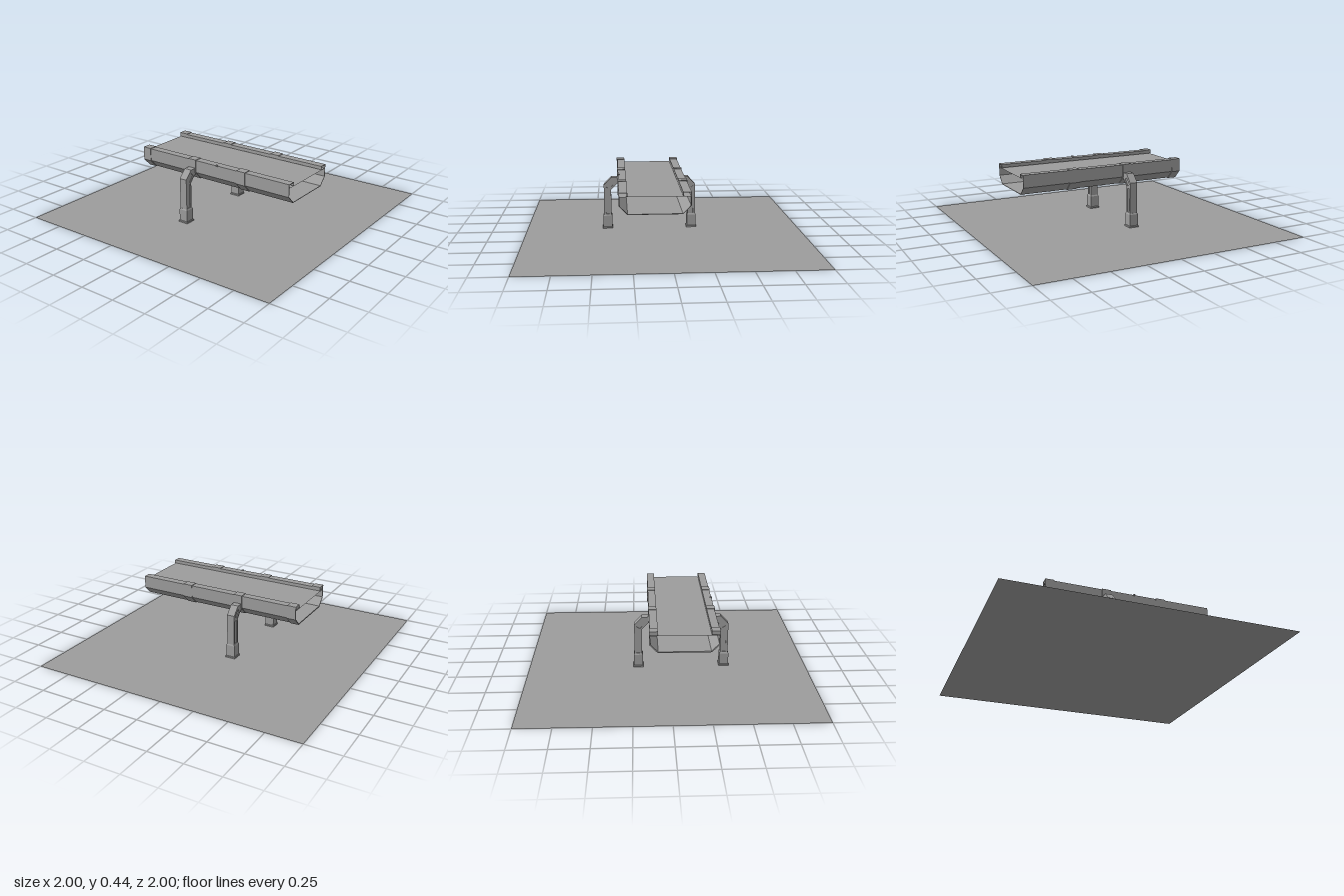
import * as THREE from 'three';

const CX = -0.098;      // centre line of the trough
const LEG_Z = -0.092;   // position of the supports
const mat = new THREE.MeshStandardMaterial({ color: 0x9c9c9c, flatShading: true, side: THREE.DoubleSide });

function part(parent, name, geometry, x = 0, y = 0, z = 0) {
  const mesh = new THREE.Mesh(geometry, mat);
  mesh.name = name;
  mesh.position.set(x, y, z);
  parent.add(mesh);
  return mesh;
}

const vectors = list => list.map(([x, y]) => new THREE.Vector2(x, y));

// Trough cross-section: lip, rail top, wall, chamfer, floor, then mirrored
const half = [[0.178, 0.416], [0.178, 0.44], [0.233, 0.44], [0.233, 0.351], [0.179, 0.295]];
const section = vectors([...half, ...half.map(([x, y]) => [-x, y]).reverse()]);

// Mitred offset of an open polyline; positive d goes outward
function offset(points, d) {
  return points.map((p, i) => {
    const normals = [];
    for (const [a, b] of [[points[i - 1], p], [p, points[i + 1]]]) {
      if (!a || !b) continue;
      const t = b.clone().sub(a).normalize();
      normals.push(new THREE.Vector2(-t.y, t.x));
    }
    const m = normals[0].clone().add(normals[normals.length - 1]).normalize();
    return p.clone().addScaledVector(m, d / m.dot(normals[0]));
  });
}

function extrude(points, depth, holes = []) {
  const shape = new THREE.Shape(points);
  shape.holes = holes.map(h => new THREE.Path(h));
  return new THREE.ExtrudeGeometry(shape, { depth, bevelEnabled: false });
}

const shell = (line, outer, inner, depth) =>
  extrude([...offset(line, outer), ...offset(line, inner).reverse()], depth);

// Four-sided column with a tapering square section, from [halfWidth, y] pairs
function squareColumn(profile) {
  const pts = [[0, profile[0][1]], ...profile, [0, profile[profile.length - 1][1]]]
    .map(([w, y]) => new THREE.Vector2(w * Math.SQRT2, y));
  return new THREE.LatheGeometry(pts, 4, Math.PI / 4);
}

function makeLeg(side) {
  const leg = new THREE.Group();
  leg.name = side > 0 ? 'leftLeg' : 'rightLeg';
  leg.position.set(CX, 0, LEG_Z);
  const mirrored = list => vectors(list.map(([x, y]) => [side * x, y]));

  // Foot with a flared sole and sloped shoulder
  part(leg, 'foot', squareColumn([
    [0.037, 0], [0.037, 0.009], [0.033, 0.013], [0.033, 0.095], [0.028, 0.104]]), side * 0.31);

  // Post bending over into the trough wall, with recessed panels front and back
  const arm = mirrored([[0.283, 0.1], [0.337, 0.1], [0.337, 0.325], [0.282, 0.383], [0.228, 0.383],
    [0.228, 0.345], [0.25, 0.326], [0.283, 0.29]]);
  const panels = [
    mirrored([[0.298, 0.108], [0.298, 0.28], [0.322, 0.28], [0.322, 0.108]]),
    mirrored([[0.296, 0.296], [0.26, 0.336], [0.28, 0.356], [0.322, 0.312]]),
  ];
  part(leg, 'armCore', extrude(arm, 0.046), 0, 0, -0.023);
  for (const z of [-0.028, 0.023]) part(leg, 'armFace', extrude(arm, 0.005, panels), 0, 0, z);
  return leg;
}

export function createModel() {
  const model = new THREE.Group();
  model.name = 'raisedTrough';

  part(model, 'ground', new THREE.PlaneGeometry(2, 2).rotateX(-Math.PI / 2));

  // Open trough with folded rails
  part(model, 'trough', shell(section, 0, -0.004, 1.242), CX, 0, -0.54);

  // Flat sheet filling the channel just below the rails
  part(model, 'surfaceSheet', new THREE.PlaneGeometry(0.46, 1.242).rotateX(-Math.PI / 2), CX, 0.412, 0.081);

  // Collars around the outside of the trough, with filled rails
  for (const [z, depth] of [[-0.54, 0.065], [-0.125, 0.066], [0.287, 0.07]]) {
    part(model, 'collar', shell(section.slice(1, -1), 0.004, -0.001, depth), CX, 0, z);
    for (const s of [-1, 1]) {
      part(model, 'railBlock', new THREE.BoxGeometry(0.052, 0.022, depth - 0.004),
        CX + s * 0.2055, 0.428, z + depth / 2);
    }
  }

  // Shallow tapered box under the floor
  const box = [[-0.062, 0.294], [-0.062, 0.287], [-0.052, 0.28], [0.052, 0.28], [0.062, 0.287], [0.062, 0.294]];
  part(model, 'underBox', extrude(vectors(box), 0.132), CX, 0, 0.048);

  // Small stud on the right rail
  part(model, 'stud', new THREE.CylinderGeometry(0.009, 0.009, 0.012, 8), CX - 0.23, 0.439, 0.12);

  for (const side of [-1, 1]) model.add(makeLeg(side));
  return model;
}
